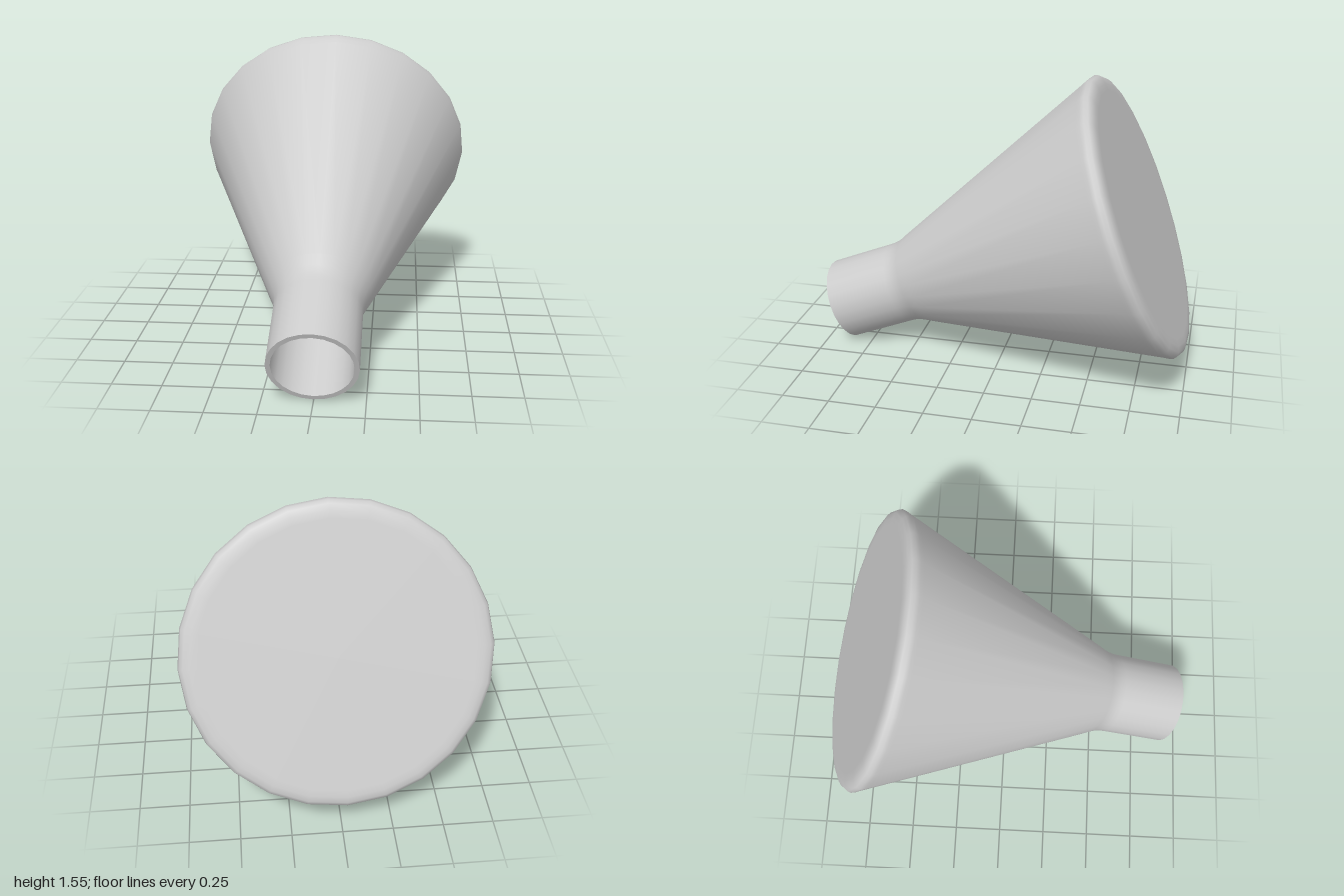
import * as THREE from 'three';

const SIDES = 24;

// Revolve a profile of [radius, height] pairs; height 0 is the mouth.
function revolve(name, profile, material) {
  const points = profile.map(([r, y]) => new THREE.Vector2(r, y));
  const mesh = new THREE.Mesh(new THREE.LatheGeometry(points, SIDES, -0.03), material);
  mesh.name = name;
  return mesh;
}

export function createModel() {
  const model = new THREE.Group();
  model.name = 'conicalFlask';
  const grey = new THREE.MeshStandardMaterial({ color: 0xcccccc });

  const flask = new THREE.Group();
  flask.name = 'flask';
  model.add(flask);

  // Outer wall: flat base, rounded foot, cone and straight neck
  flask.add(revolve('outerWall', [
    [0, -1.784], [0.66, -1.784], [0.695, -1.783], [0.725, -1.776],
    [0.743, -1.762], [0.75, -1.742], [0.744, -1.718], [0.735, -1.698],
    [0.26, -0.5], [0.238, -0.448], [0.228, -0.42], [0.222, -0.39],
    [0.221, -0.36], [0.221, 0],
  ], grey));

  // Flat lip around the mouth
  flask.add(revolve('lip', [[0.221, 0], [0.197, 0]], grey));

  // Hollow inside: straight bore, then the cone down to the inner floor
  flask.add(revolve('neckBore', [[0.197, 0], [0.197, -0.42]], grey));
  flask.add(revolve('innerCone', [[0.197, -0.42], [0.715, -1.72]], grey));
  flask.add(revolve('innerFloor', [[0.715, -1.72], [0.68, -1.758], [0.64, -1.76], [0, -1.76]], grey));

  // Tip the flask so the mouth points forward and slightly down
  flask.rotation.x = THREE.MathUtils.degToRad(111.9);
  flask.position.set(0, 0.206, 0.917);
  return model;
}
